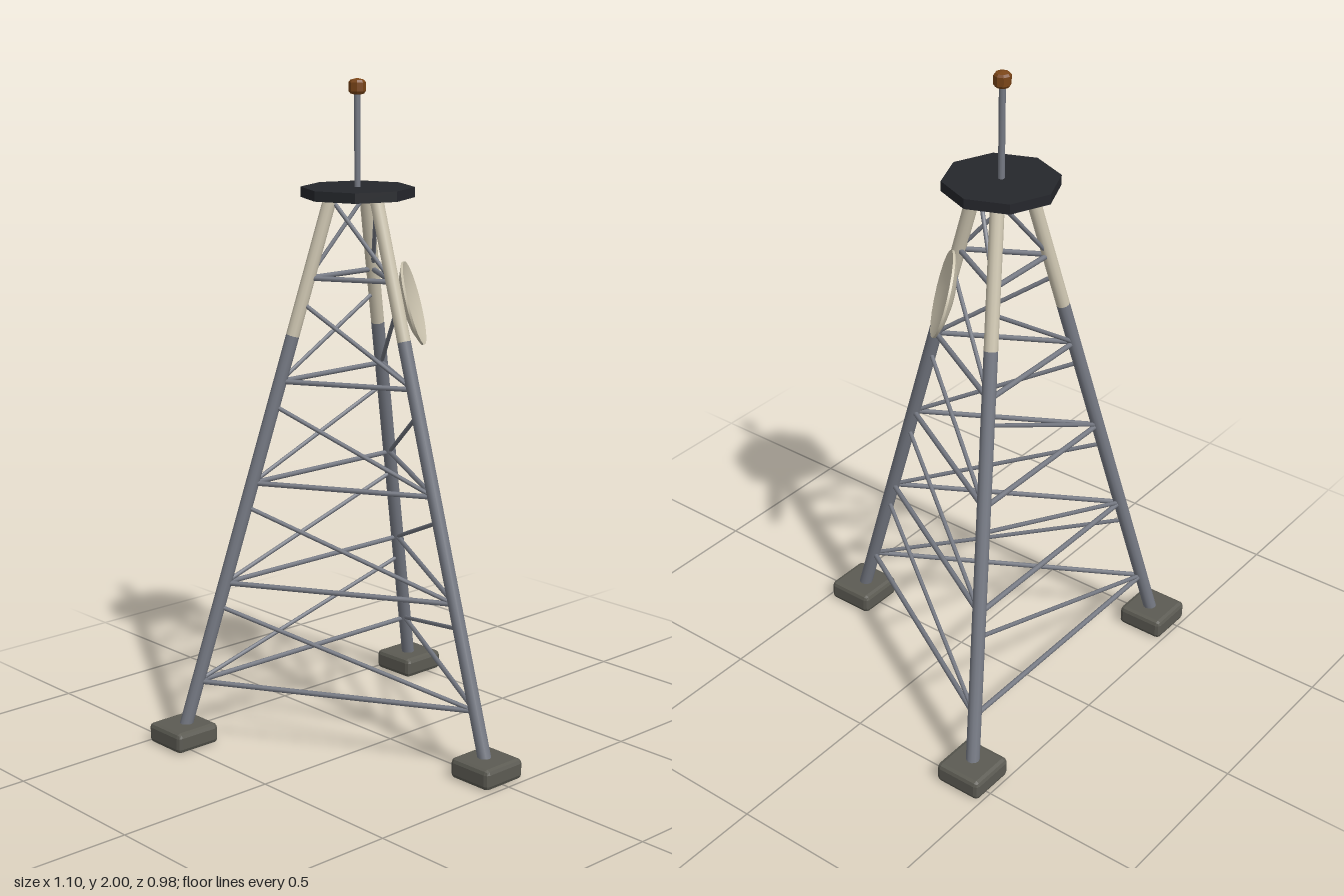
import * as THREE from 'three';
import { RoundedBoxGeometry } from 'three/addons/geometries/RoundedBoxGeometry.js';
import { toCreasedNormals } from 'three/addons/utils/BufferGeometryUtils.js';

const mat = (color, flatShading = false) => new THREE.MeshStandardMaterial({ color, flatShading });
const steel = mat(0x767a84);
const cream = mat(0xcfc7b2);
const concrete = mat(0x5c5b53, true);
const dark = mat(0x25272c, true);
const brown = mat(0x7a4518, true);

const AXIS_Z = -0.14; // tower axis
const FOOT_Y = 0.03, TOP_Y = 1.66;

// Point on a leg's centre line at height y; leg 0 is at the front
function legPoint(leg, y) {
  const t = (y - FOOT_Y) / (TOP_Y - FOOT_Y);
  const r = THREE.MathUtils.lerp(0.55, 0.08, t);
  const a = (leg * Math.PI * 2) / 3;
  return new THREE.Vector3(Math.sin(a) * r, y, AXIS_Z + Math.cos(a) * r);
}

export function createModel() {
  const tower = new THREE.Group();
  tower.name = 'latticeTower';

  const add = (name, geometry, material, x = 0, y = 0, z = 0) => {
    const mesh = new THREE.Mesh(geometry, material);
    mesh.name = name;
    mesh.position.set(x, y, z);
    tower.add(mesh);
    return mesh;
  };

  // Straight round bar between two points
  const bar = (name, a, b, radius, material, sides) => {
    const mesh = add(name, new THREE.CylinderGeometry(radius, radius, a.distanceTo(b), sides), material);
    mesh.position.copy(a).add(b).multiplyScalar(0.5);
    mesh.quaternion.setFromUnitVectors(new THREE.Vector3(0, 1, 0), b.clone().sub(a).normalize());
  };

  for (let i = 0; i < 3; i++) {
    const next = (i + 1) % 3;

    // Footing and two-tone leg
    const foot = legPoint(i, FOOT_Y);
    add('footing', new RoundedBoxGeometry(0.152, 0.063, 0.152, 1, 0.014), concrete, foot.x, 0.0315, foot.z);
    bar('lowerLeg', foot, legPoint(i, 1.25), 0.0205, steel, 12);
    bar('upperLeg', legPoint(i, 1.25), legPoint(i, TOP_Y), 0.0205, cream, 12);

    // Rails and single diagonals on each face
    for (let k = 0; k < 5; k++) {
      const y = 0.194 + k * 0.3065;
      bar('rail', legPoint(i, y), legPoint(next, y), 0.008, steel, 8);
      bar('diagonalBrace', legPoint(i, y + 0.235), legPoint(next, y), 0.0065, steel, 8);
    }
  }

  // Octagonal platform, mast and beacon
  add('platform', new THREE.CylinderGeometry(0.168, 0.168, 0.03, 8), dark, 0, 1.67, AXIS_Z);
  add('mast', new THREE.CylinderGeometry(0.0095, 0.0095, 0.28, 10), steel, 0, 1.82, AXIS_Z);
  const beaconProfile = [[0, -0.025], [0.02, -0.02], [0.025, -0.013], [0.025, 0.013], [0.02, 0.02], [0, 0.025]]
    .map(([x, y]) => new THREE.Vector2(x, y));
  add('beacon', new THREE.LatheGeometry(beaconProfile, 8), brown, 0, 1.975, AXIS_Z);

  // Shallow dish tilted slightly upward beside the front leg
  const dishProfile = [
    [0, -0.026], [0.05, -0.022], [0.095, -0.012], [0.128, 0.002],
    [0.128, 0.009], [0.095, -0.002], [0.05, -0.01], [0, -0.013],
  ].map(([x, y]) => new THREE.Vector2(x, y));
  const dish = add('dish', toCreasedNormals(new THREE.LatheGeometry(dishProfile, 20), 0.7), cream, 0.12, 1.337, -0.034);
  dish.rotation.set(THREE.MathUtils.degToRad(75), THREE.MathUtils.degToRad(40), 0, 'YXZ');

  return tower;
}
